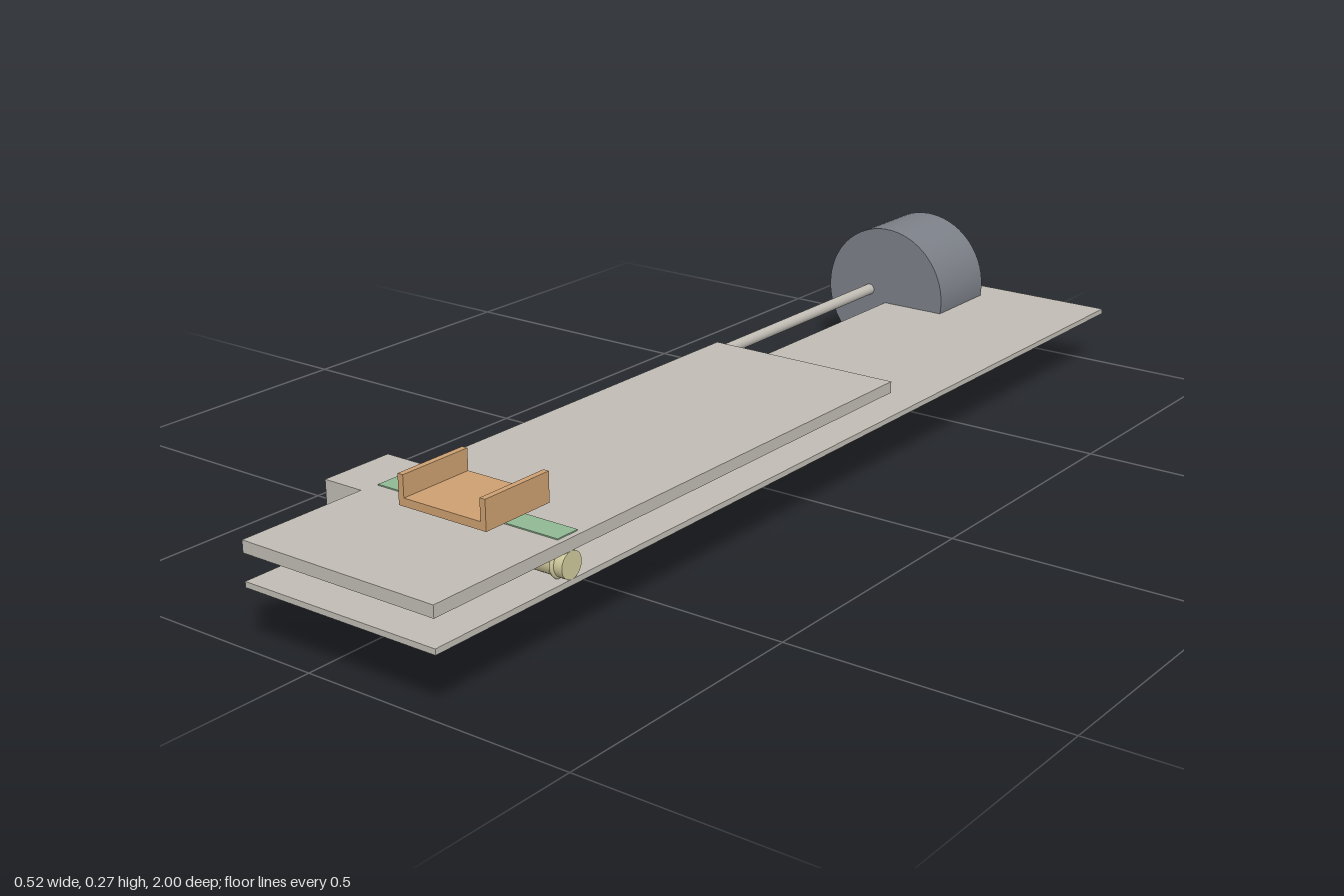
import * as THREE from 'three';

export function createModel() {
  const model = new THREE.Group();
  model.name = 'slideMechanism';

  const mat = (name, color) => {
    const m = new THREE.MeshStandardMaterial({ color });
    m.name = name;
    return m;
  };
  const grey = mat('plate grey', 0xc0bcb4);
  const slate = mat('wheel slate', 0x7b7f87);
  const tan = mat('carriage tan', 0xcc9f70);
  const green = mat('slot green', 0x8fb894);
  const cream = mat('screw cream', 0xcfc99c);

  const add = (name, geometry, material, parent = model) => {
    const mesh = new THREE.Mesh(geometry, material);
    mesh.name = name;
    parent.add(mesh);
    return mesh;
  };
  // Box given by its limits on each axis
  const box = (name, [x0, x1], [y0, y1], [z0, z1], material, parent) => {
    const mesh = add(name, new THREE.BoxGeometry(x1 - x0, y1 - y0, z1 - z0), material, parent);
    mesh.position.set((x0 + x1) / 2, (y0 + y1) / 2, (z0 + z1) / 2);
    return mesh;
  };
  // Cylinder lying along z
  const rodZ = (name, r, x, y, z0, z1, material, sides) => {
    const g = new THREE.CylinderGeometry(r, r, z1 - z0, sides).rotateX(Math.PI / 2);
    add(name, g, material).position.set(x, y, (z0 + z1) / 2);
  };

  const axisY = 0.137, screwZ = 0.705;

  // Two stacked plates and the gearbox beside them
  box('bottomPlate', [-0.125, 0.26], [0.104, 0.114], [-1, 1], grey);
  box('topPlate', [-0.125, 0.26], [0.16, 0.181], [-0.18, 1], grey);
  box('gearbox', [-0.204, -0.125], [0.104, 0.181], [0.615, 0.755], grey);

  // Guide strip marking the slot in the top plate
  box('slotStrip', [-0.118, 0.25], [0.18, 0.183], [0.678, 0.724], green);

  // Drive shaft and motor wheel
  rodZ('driveShaft', 0.011, -0.164, axisY, -0.78, 0.62, grey, 32);
  rodZ('wheel', 0.136, -0.126, 0.136, -0.935, -0.77, slate, 64);

  // Lead screw with raised rings
  const screw = new THREE.Group();
  screw.name = 'leadScrew';
  screw.position.set(0, axisY, screwZ);
  model.add(screw);
  const core = new THREE.CylinderGeometry(0.023, 0.023, 0.378, 32).rotateZ(Math.PI / 2);
  add('screwCore', core, cream, screw).position.x = 0.071;
  for (let i = 0; i < 7; i++) {
    const ring = new THREE.TorusGeometry(0.023, 0.004, 8, 32).rotateY(Math.PI / 2);
    add('screwThread', ring, cream, screw).position.x = -0.114 + i * 0.059;
  }
  const cap = new THREE.CylinderGeometry(0.023, 0.023, 0.009, 32).rotateZ(Math.PI / 2);
  add('screwBearing', cap, green, screw).position.x = -0.1215;

  // Carriage: nut, stem and open tray
  const carriage = new THREE.Group();
  carriage.name = 'carriage';
  model.add(carriage);
  box('nut', [0.038, 0.097], [0.114, 0.16], [0.668, 0.742], tan, carriage);
  box('stem', [0.052, 0.08], [0.158, 0.19], [0.685, 0.72], tan, carriage);
  box('trayBase', [-0.022, 0.156], [0.188, 0.202], [0.632, 0.776], tan, carriage);
  for (const x of [-0.022, 0.145])
    box('trayWall', [x, x + 0.011], [0.2, 0.24], [0.632, 0.776], tan, carriage);

  return model;
}
